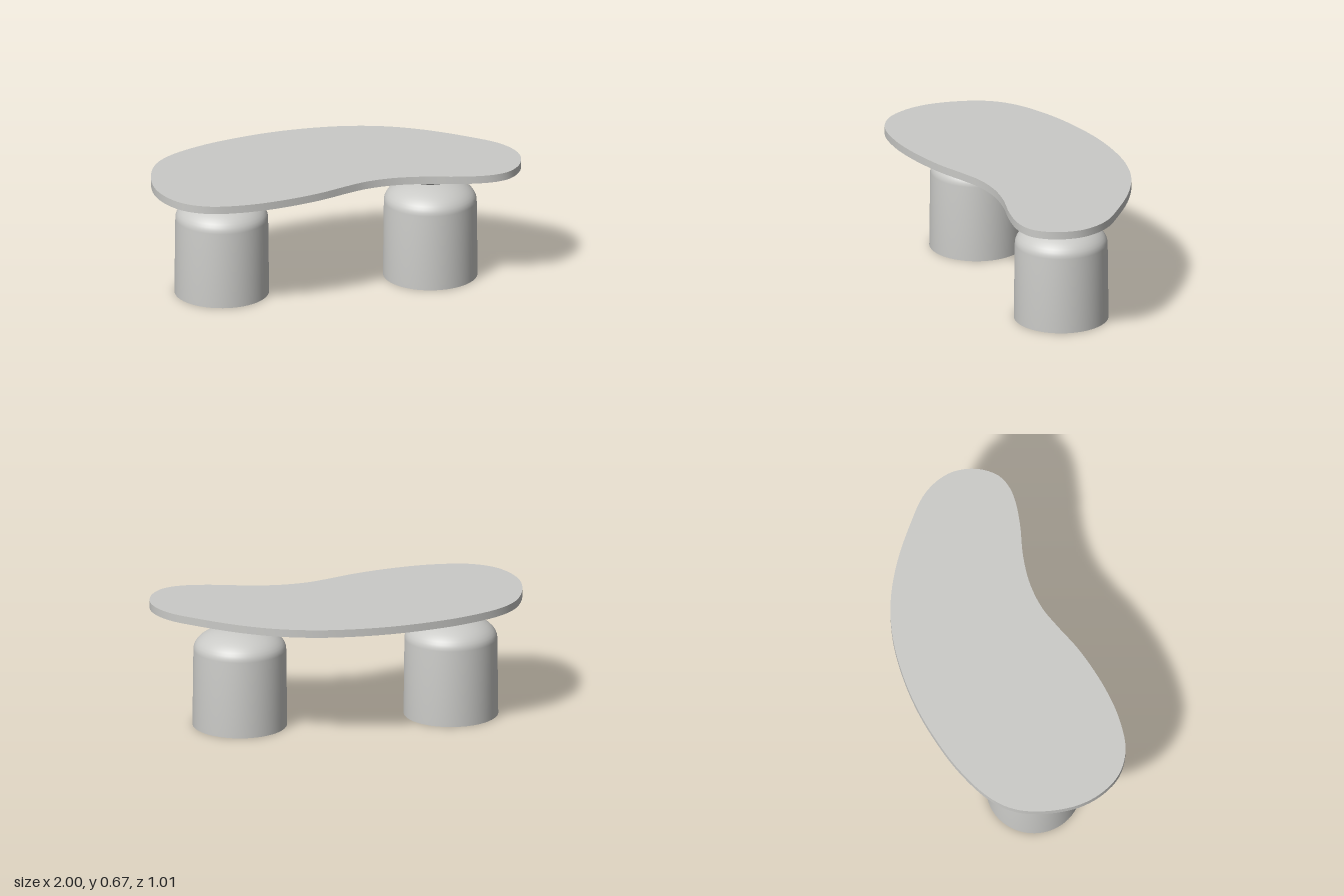
import * as THREE from 'three';
import { toCreasedNormals } from 'three/addons/utils/BufferGeometryUtils.js';

const stone = new THREE.MeshStandardMaterial({ color: 0xcacac7 });
stone.name = 'pale stone grey';

const V = (x, y) => new THREE.Vector2(x, y);

function part(name, geometry) {
  const mesh = new THREE.Mesh(toCreasedNormals(geometry, 0.6), stone);
  mesh.name = name;
  return mesh;
}

// Quarter ellipse from the axis (t = 0) to the rim (t = 1)
function ellipsePoint(t, radius, centreY, height) {
  const a = t * Math.PI / 2;
  return V(radius * Math.sin(a), centreY + height * Math.cos(a));
}

// Kidney-shaped slab, outline given as x, z pairs
function tabletop() {
  const outline = [
    [-1, 0.14], [-0.97, -0.06], [-0.905, -0.2], [-0.8, -0.3], [-0.6, -0.4],
    [-0.4, -0.46], [-0.2, -0.497], [0, -0.508], [0.2, -0.493], [0.4, -0.44],
    [0.6, -0.338], [0.8, -0.19], [0.925, -0.075], [0.985, 0.035], [1, 0.13],
    [0.97, 0.25], [0.9, 0.338], [0.82, 0.37], [0.73, 0.374], [0.6, 0.355],
    [0.43, 0.314], [0.27, 0.298], [0.12, 0.315], [0, 0.357], [-0.17, 0.425],
    [-0.4, 0.483], [-0.6, 0.502], [-0.78, 0.479], [-0.9, 0.405], [-0.97, 0.29],
  ].map(([x, z]) => new THREE.Vector3(x, z, 0));
  const curve = new THREE.CatmullRomCurve3(outline, true, 'centripetal');
  const points = curve.getSpacedPoints(160).slice(0, -1).map(p => V(p.x, p.y));
  const geometry = new THREE.ExtrudeGeometry(new THREE.Shape(points), { depth: 0.042, bevelEnabled: false });
  geometry.rotateX(Math.PI / 2).translate(0, 0.672, 0);
  return part('tabletop', geometry);
}

// Domed column with a shallow bowl balanced on it
function pedestal(name, x) {
  const group = new THREE.Group();
  group.name = name;
  group.position.set(x, 0, 0.023);

  const column = [V(0, 0), V(0.252, 0)];
  for (let i = 12; i >= 0; i--) column.push(ellipsePoint(i / 12, 0.247, 0.42, 0.122));
  group.add(part('domedColumn', new THREE.LatheGeometry(column, 64)));

  const bowl = [];
  for (let i = 0; i <= 12; i++) bowl.push(ellipsePoint(i / 12 * 0.85, 0.247, 0.66, -0.122));
  bowl.push(V(0, 0.635));
  group.add(part('supportBowl', new THREE.LatheGeometry(bowl, 64)));
  return group;
}

export function createModel() {
  const table = new THREE.Group();
  table.name = 'table';
  table.add(tabletop(), pedestal('rightPedestal', -0.604), pedestal('leftPedestal', 0.534));
  return table;
}
